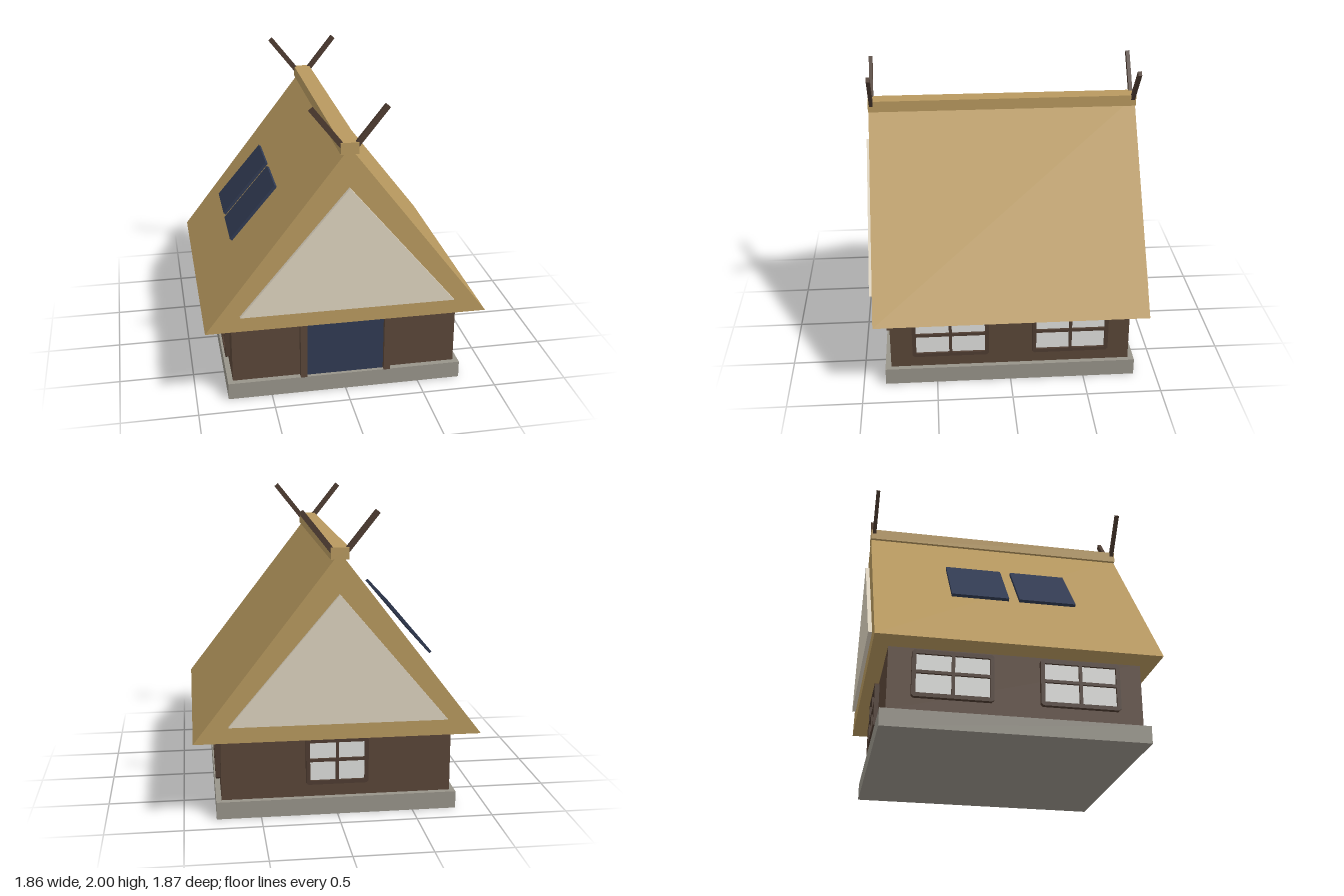
import * as THREE from 'three';

const mat = (name, color) => {
  const m = new THREE.MeshStandardMaterial({ color });
  m.name = name;
  return m;
};

export function createModel() {
  const house = new THREE.Group();
  house.name = 'thatchedHouse';

  const thatch = mat('thatch', 0xb8995f);
  const timber = mat('timberWall', 0x5a4638);
  const trim = mat('darkTrim', 0x4e3c31);
  const stone = mat('stone', 0x98948a);
  const plaster = mat('plaster', 0xddd3bf);
  const glass = mat('windowGlass', 0xdfe0dd);
  const navy = mat('navy', 0x303a52);

  const add = (name, geometry, material, x = 0, y = 0, z = 0, parent = house) => {
    const mesh = new THREE.Mesh(geometry, material);
    mesh.name = name;
    mesh.position.set(x, y, z);
    parent.add(mesh);
    return mesh;
  };
  const box = (name, w, h, d, material, x, y, z, parent) =>
    add(name, new THREE.BoxGeometry(w, h, d), material, x, y, z, parent);

  // Triangular prism running along z, centred on z = 0
  const prism = (halfWidth, bottom, top, depth) => {
    const s = new THREE.Shape();
    s.moveTo(-halfWidth, bottom);
    s.lineTo(halfWidth, bottom);
    s.lineTo(0, top);
    s.closePath();
    return new THREE.ExtrudeGeometry(s, { depth, bevelEnabled: false }).translate(0, 0, -depth / 2);
  };

  // Plinth and walls
  box('plinth', 1.58, 0.115, 1.7, stone, 0, 0.0575, 0);
  box('walls', 1.51, 0.43, 1.62, timber, 0, 0.33, 0);

  // Roof, ridge cap and gable panels
  add('roof', prism(0.93, 0.535, 1.74, 1.82), thatch);
  box('ridgeCap', 0.115, 0.075, 1.824, thatch, 0, 1.7325, 0);
  for (const end of [1, -1]) {
    add('gablePanel', prism(0.705, 0.645, 1.48, 0.035), plaster, 0, 0, end * 0.918);
  }

  // Crossed ridge poles at both ends
  for (const end of [1, -1]) {
    for (const side of [1, -1]) {
      const pole = box('ridgePole', 0.308, 0.035, 0.025, trim, side * 0.142, 1.868, end * 0.89);
      pole.rotation.z = side * 0.9;
    }
  }

  // Door with posts
  box('door', 0.52, 0.43, 0.02, navy, 0, 0.33, 0.815);
  for (const side of [1, -1]) {
    box('doorPost', 0.045, 0.43, 0.06, timber, side * 0.2825, 0.33, 0.825);
  }

  // Window: chamfered frame with four openings, facing +z
  const makeWindow = (w, x, z, turn) => {
    const win = new THREE.Group();
    win.name = 'window';
    const hw = w / 2, hh = 0.155, c = 0.014, border = 0.026, bar = 0.01, barY = 0.01;
    const s = new THREE.Shape([
      [-hw + c, -hh], [hw - c, -hh], [hw, -hh + c], [hw, hh - c],
      [hw - c, hh], [-hw + c, hh], [-hw, hh - c], [-hw, -hh + c],
    ].map(([px, py]) => new THREE.Vector2(px, py)));
    for (const [x0, x1] of [[-hw + border, -bar], [bar, hw - border]]) {
      for (const [y0, y1] of [[-hh + border, barY - bar], [barY + bar, hh - border]]) {
        s.holes.push(new THREE.Path([
          new THREE.Vector2(x0, y0), new THREE.Vector2(x0, y1),
          new THREE.Vector2(x1, y1), new THREE.Vector2(x1, y0),
        ]));
      }
    }
    add('windowFrame', new THREE.ExtrudeGeometry(s, { depth: 0.032, bevelEnabled: false }), trim, 0, 0, 0, win);
    box('windowPane', w - 0.04, 0.27, 0.008, glass, 0, 0, 0.012, win);
    win.position.set(x, 0.36, z);
    win.rotation.y = turn;
    house.add(win);
  };
  for (const side of [1, -1]) {
    for (const z of [0.405, -0.405]) makeWindow(0.515, side * 0.754, z, side * Math.PI / 2);
  }
  makeWindow(0.41, 0, -0.809, Math.PI);

  // Solar panels raised above one roof slope
  for (const z of [0.223, -0.223]) {
    const panel = box('solarPanel', 0.475, 0.02, 0.376, navy, -0.546, 1.139, z);
    panel.rotation.z = 0.868;
  }

  return house;
}
